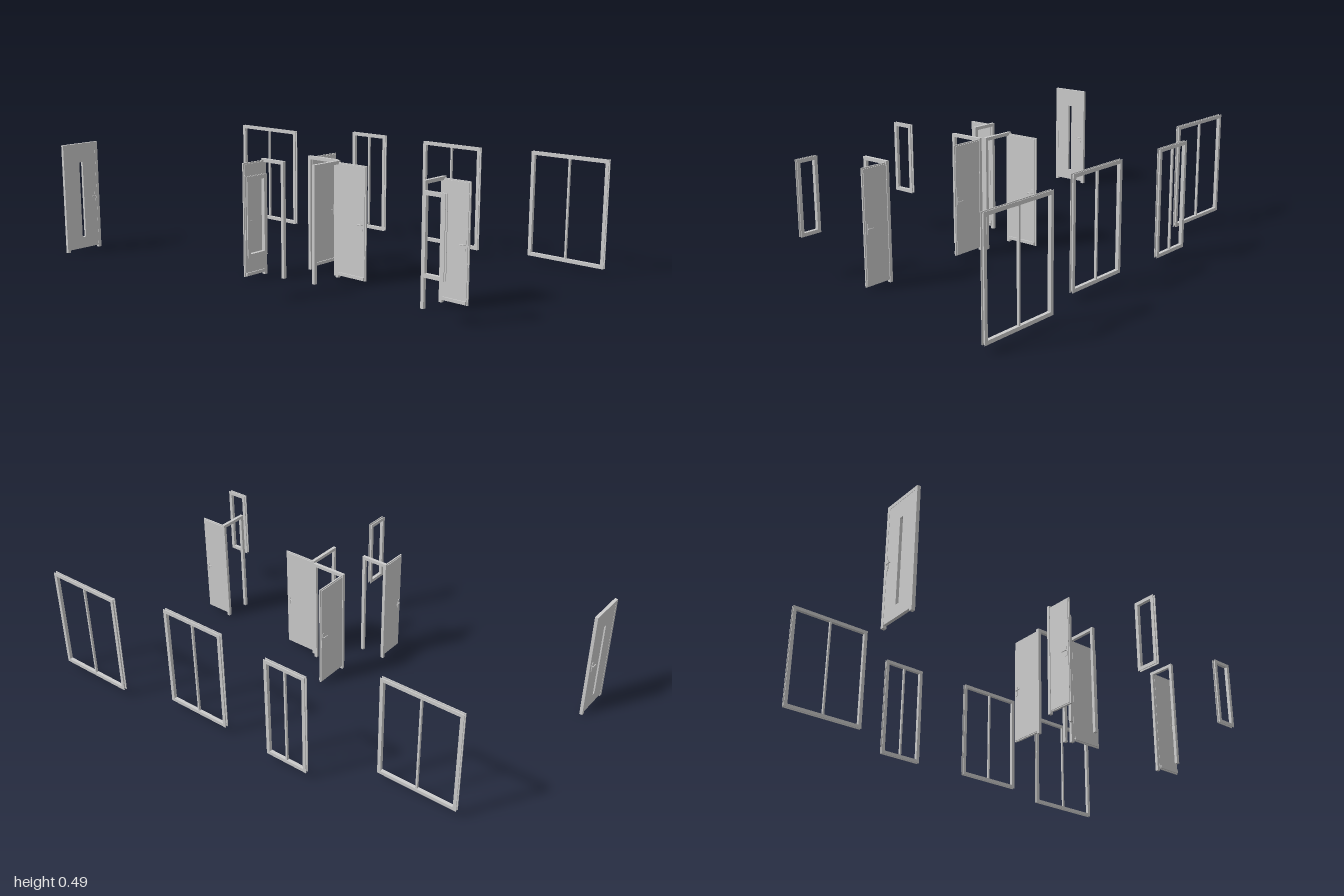
import * as THREE from 'three';

const grey = new THREE.MeshStandardMaterial({ color: 0xcccccc });
const TOP = 0.49;

function add(parent, name, geometry, x = 0, y = 0, z = 0) {
  const mesh = new THREE.Mesh(geometry, grey);
  mesh.name = name;
  mesh.position.set(x, y, z);
  parent.add(mesh);
  return mesh;
}

function box(parent, name, x0, x1, y0, y1, z0, z1) {
  return add(parent, name, new THREE.BoxGeometry(x1 - x0, y1 - y0, z1 - z0),
    (x0 + x1) / 2, (y0 + y1) / 2, (z0 + z1) / 2);
}

function rectPath(path, x0, x1, y0, y1) {
  path.moveTo(x0, y0);
  path.lineTo(x1, y0);
  path.lineTo(x1, y1);
  path.lineTo(x0, y1);
  path.closePath();
  return path;
}

// Rectangular plate with a rectangular hole; outer and inner are [x0, x1, y0, y1]
function holedPlate(outer, inner, z0, z1) {
  const shape = rectPath(new THREE.Shape(), ...outer);
  shape.holes.push(rectPath(new THREE.Path(), ...inner));
  return new THREE.ExtrudeGeometry(shape, { depth: z1 - z0, bevelEnabled: false }).translate(0, 0, z0);
}

// Window frame running along local x from 0: two lipped flanges around a recessed core
function makeWindow(width, bottom, mullion) {
  const g = new THREE.Group();
  g.name = mullion ? 'doubleWindow' : 'smallWindow';
  const bar = 0.015, lip = 0.007, half = 0.0075;
  const outer = [0, width, bottom, TOP];
  const inner = [bar, width - bar, bottom + bar, TOP - bar];
  const core = [lip, width - lip, bottom + lip, TOP - lip];
  add(g, 'frameCore', holedPlate(core, inner, -half + 0.003, half - 0.003));
  add(g, 'frontFlange', holedPlate(outer, inner, half - 0.003, half));
  add(g, 'backFlange', holedPlate(outer, inner, -half, -half + 0.003));
  if (mullion) {
    box(g, 'mullion', width / 2 - 0.004, width / 2 + 0.004, bottom + bar, TOP - bar, -0.005, 0.005);
  }
  return g;
}

// Backplates, spindle and a lever on each side of the leaf
function makeHandle(x) {
  const g = new THREE.Group();
  g.name = 'handle';
  g.position.set(x, 0.243, 0);
  const spindle = new THREE.CylinderGeometry(0.0025, 0.0025, 0.028, 10).rotateX(Math.PI / 2);
  add(g, 'spindle', spindle);
  for (const s of [-1, 1]) {
    box(g, 'backplate', -0.004, 0.004, -0.024, 0.018, s * 0.007 - 0.0015, s * 0.007 + 0.0015);
    add(g, 'lever', new THREE.CylinderGeometry(0.002, 0.002, 0.024, 8).rotateZ(Math.PI / 2), -0.010, 0, s * 0.0125);
  }
  return g;
}

// Door running along local x from its hinge at 0; swing turns the leaf about the hinge
function makeDoor(width, swing, slotted) {
  const g = new THREE.Group();
  g.name = slotted ? 'entranceDoor' : 'openDoor';
  const post = 0.014, d = 0.007;
  box(g, 'hingePost', 0, post, 0, TOP, -d, d);
  box(g, 'latchPost', width - post, width, 0, TOP, -d, d);
  box(g, 'header', post, width - post, TOP - post, TOP, -d, d);

  const leaf = new THREE.Group();
  leaf.name = 'leaf';
  const x0 = 0.006, x1 = width - 0.004;
  if (slotted) {
    const mid = width / 2;
    add(leaf, 'slottedPanel', holedPlate([x0, x1, 0.01, 0.484], [mid - 0.009, mid + 0.009, 0.06, 0.405], -0.006, 0.006));
  } else {
    leaf.position.x = 0.009;
    box(leaf, 'rim', x0, x1, 0.01, 0.484, -0.003, 0.003);
    box(leaf, 'panel', x0, x1 - 0.005, 0.014, 0.479, -0.006, 0.006);
    // Bottom seal on the side that faces the opening
    const z = Math.sign(swing) * 0.008;
    box(leaf, 'bottomSeal', x0 + 0.004, x1 - 0.006, 0.013, 0.026, z - 0.003, z + 0.003);
  }
  leaf.add(makeHandle(x1 - 0.016));
  leaf.rotation.y = swing;
  g.add(leaf);
  return g;
}

export function createModel() {
  const model = new THREE.Group();
  model.name = 'doorsAndWindows';
  const Q = Math.PI / 2;
  const place = (part, x, z, turn) => {
    part.position.set(x, 0, z);
    part.rotation.y = turn;
    model.add(part);
  };

  // Windows: x, z start, width, bottom, mullion, turn
  const windows = [
    [0.391, -0.9, 0.363, 0.03, true, -Q],
    [0.566, -0.32, 0.2, 0.03, true, -Q],
    [0.549, 0.118, 0.308, 0.03, true, -Q],
    [0.627, 0.638, 0.362, 0.03, true, -Q],
    [-0.4, 0.829, 0.098, 0.178, false, -Q],
    [-0.638, 0.184, 0.103, 0.178, false, 0],
  ];
  for (const [x, z, width, bottom, mullion, turn] of windows) {
    place(makeWindow(width, bottom, mullion), x, z, turn);
  }

  // Doors: x and z of the hinge, width, leaf swing, slot, turn
  const doors = [
    [-0.639, -0.986, 0.182, 0, true, 0],
    [-0.287, -0.083, 0.125, -Q, false, -Q],
    [-0.108, 0.013, 0.16, Q, false, -Q],
    [-0.117, 0.189, 0.157, Q, false, Math.PI],
    [-0.117, 0.715, 0.13, Q, false, Math.PI],
  ];
  for (const [x, z, width, swing, slotted, turn] of doors) {
    place(makeDoor(width, swing, slotted), x, z, turn);
  }
  return model;
}
